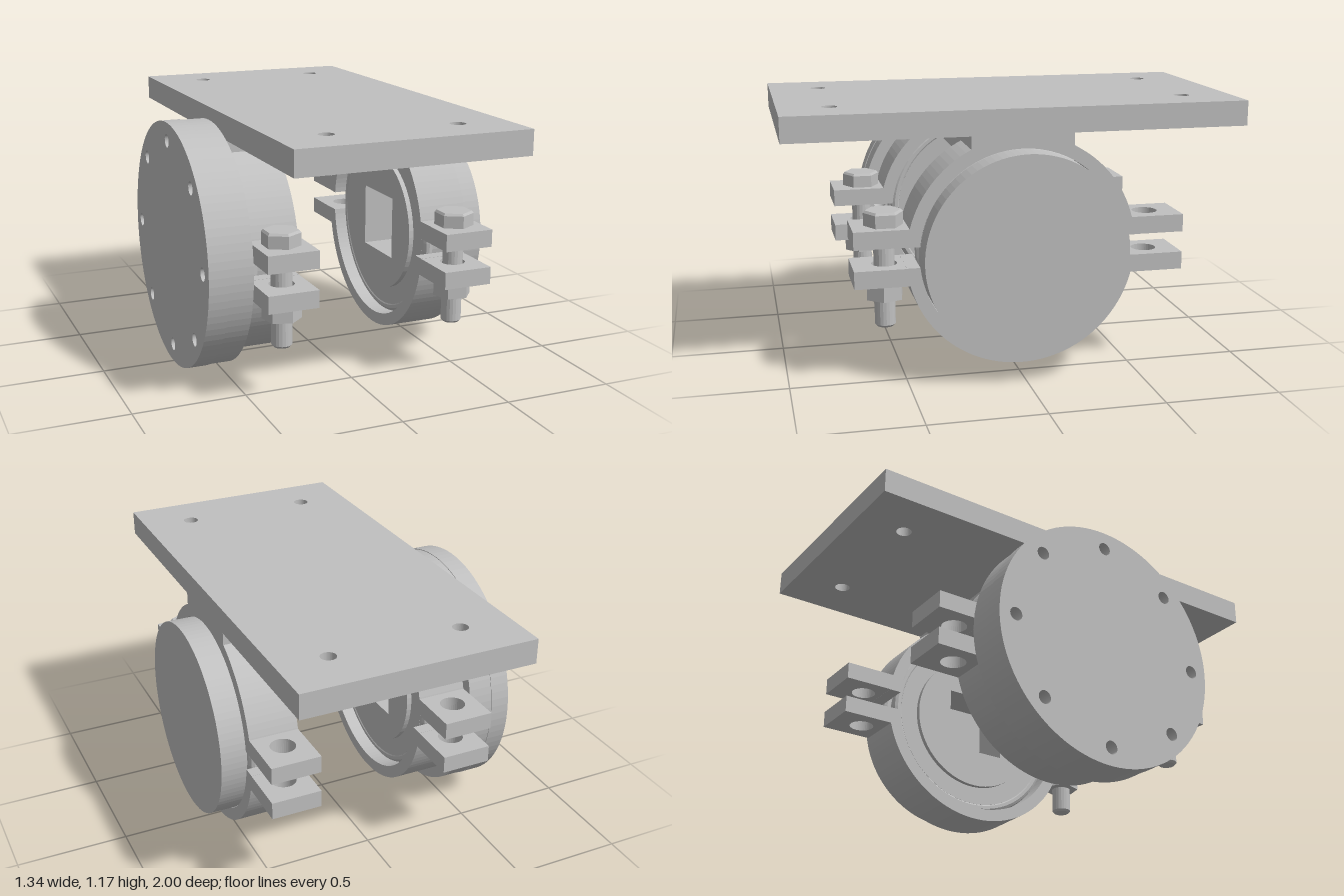
import * as THREE from 'three';

const metal = new THREE.MeshStandardMaterial({ color: 0xc0c0c0, flatShading: true });
metal.name = 'grey metal';

const AXIS = 0.557;          // height of the shaft axis
const X0 = -0.475, X1 = 0.56; // ends of the plate and clamps
const MID = (X0 + X1) / 2;
const BORE = 0.444, CLAMP_R = 0.5;

function add(parent, name, geometry) {
  const mesh = new THREE.Mesh(geometry, metal);
  mesh.name = name;
  parent.add(mesh);
  return mesh;
}

function circle(r, x = 0, y = 0) {
  const p = new THREE.Shape();
  p.absarc(x, y, r, 0, Math.PI * 2, false);
  return p;
}

function rect(x0, y0, x1, y1) {
  return new THREE.Shape([[x0, y0], [x1, y0], [x1, y1], [x0, y1]].map(([x, y]) => new THREE.Vector2(x, y)));
}

// Extrude a side profile (drawn around the shaft axis) from xa to xb
function alongX(shape, xa, xb, curveSegments = 48) {
  const g = new THREE.ExtrudeGeometry(shape, { depth: xb - xa, bevelEnabled: false, curveSegments });
  return g.rotateY(Math.PI / 2).translate(xa, AXIS, 0);
}

// Extrude a ground plan (x, z) from ya to yb
function upward(shape, ya, yb) {
  const g = new THREE.ExtrudeGeometry(shape, { depth: yb - ya, bevelEnabled: false, curveSegments: 20 });
  return g.rotateX(-Math.PI / 2).translate(0, ya, 0);
}

// Half of the split clamp ring; sign +1 is the upper half
function halfRing(sign) {
  const a = Math.asin(0.045 / CLAMP_R), b = Math.asin(0.045 / BORE);
  const s = new THREE.Shape();
  const start = sign > 0 ? 0 : Math.PI;
  s.absarc(0, 0, CLAMP_R, start + a, start + Math.PI - a, false);
  s.absarc(0, 0, BORE, start + Math.PI - b, start + b, true);
  s.closePath();
  return s;
}

// Clamp with four drilled ears
function makeClamp(xa, xb) {
  const clamp = new THREE.Group();
  clamp.name = 'clamp';
  const xc = (xa + xb) / 2;
  for (const sign of [1, -1]) {
    add(clamp, sign > 0 ? 'upperClampRing' : 'lowerClampRing', alongX(halfRing(sign), xa, xb, 26));
    for (const side of [1, -1]) {
      const ear = rect(xa, Math.min(side * 0.446, side * 0.72), xb, Math.max(side * 0.446, side * 0.72));
      ear.holes.push(circle(0.055, xc, side * 0.58));
      const y = AXIS + sign * 0.0845;
      add(clamp, 'clampEar', upward(ear, y - 0.0385, y + 0.0385));
    }
  }
  return clamp;
}

// Hexagonal prism with one chamfered end
function hex(r, ya, yb) {
  const pts = [[0, ya], [r, ya], [r, yb - 0.01], [r * 0.9, yb], [0, yb]];
  return new THREE.LatheGeometry(pts.map(p => new THREE.Vector2(...p)), 6);
}

function makeBolt(x, turn) {
  const bolt = new THREE.Group();
  bolt.name = 'bolt';
  bolt.position.set(x, 0, 0.58);
  add(bolt, 'boltHead', hex(0.085, 0.68, 0.745));
  add(bolt, 'nut', hex(0.085, 0.36, 0.436)).rotation.y = turn;
  const shank = [[0, 0.235], [0.036, 0.235], [0.045, 0.245], [0.045, 0.69], [0, 0.69]];
  add(bolt, 'boltShank', new THREE.LatheGeometry(shank.map(p => new THREE.Vector2(...p)), 20));
  return bolt;
}

// Insert inside a clamp: bearing body, seal rings and a hub with a square socket
function makeInsert(outerX, dir) {
  const insert = new THREE.Group();
  insert.name = 'bearingInsert';
  const span = (shape, d) => alongX(shape, Math.min(outerX, outerX + dir * d), Math.max(outerX, outerX + dir * d), 32);
  const hub = circle(0.32);
  hub.holes.push(rect(-0.145, -0.145, 0.145, 0.145));
  add(insert, 'socketHub', span(hub, 0.192));
  const body = circle(0.405);
  body.holes.push(circle(0.32));
  add(insert, 'bearingBody', span(body, 0.17));
  for (const d of [0.04, 0.15]) {
    const seal = add(insert, 'sealRing', new THREE.TorusGeometry(0.418, 0.024, 10, 64));
    seal.rotation.y = Math.PI / 2;
    seal.position.set(outerX + dir * d, AXIS, 0);
  }
  return insert;
}

export function createModel() {
  const model = new THREE.Group();
  model.name = 'clampBracket';

  // Mounting plate with four holes
  const plate = rect(X0, -1, X1, 1);
  for (const x of [-0.25, 0.337]) for (const z of [-0.78, 0.78]) plate.holes.push(circle(0.034, x, z));
  add(model, 'mountingPlate', upward(plate, 1.06, 1.17));

  // Neck joining the plate to the clamps, hollowed by the bore
  const neck = new THREE.Shape();
  const half = Math.asin(0.222 / BORE);
  neck.moveTo(0.222, 1.06 - AXIS);
  neck.lineTo(-0.222, 1.06 - AXIS);
  neck.absarc(0, 0, BORE, Math.PI / 2 + half, Math.PI / 2 - half, true);
  neck.closePath();
  add(model, 'neck', alongX(neck, X0, X1, 10));

  // Clamps, bolts and inserts at both ends
  model.add(makeClamp(X0, -0.25), makeClamp(0.337, X1));
  model.add(makeBolt(-0.363, 0.2), makeBolt(0.449, 0.35));
  model.add(makeInsert(X0, 1), makeInsert(X1, -1));

  // Large flange in two layers with eight through holes
  for (const [name, r, xa, xb] of [['flangeCover', 0.557, -0.672, -0.585], ['flangeBase', 0.554, -0.585, X0]]) {
    const disc = circle(r);
    for (let i = 0; i < 8; i++) {
      const a = i * Math.PI / 4;
      disc.holes.push(circle(0.03, 0.475 * Math.cos(a), 0.475 * Math.sin(a)));
    }
    add(model, name, alongX(disc, xa, xb, 50));
  }

  // Plain end cap on the other side
  add(model, 'endCap', alongX(circle(0.441), X1 - 0.004, 0.672));
  return model;
}
